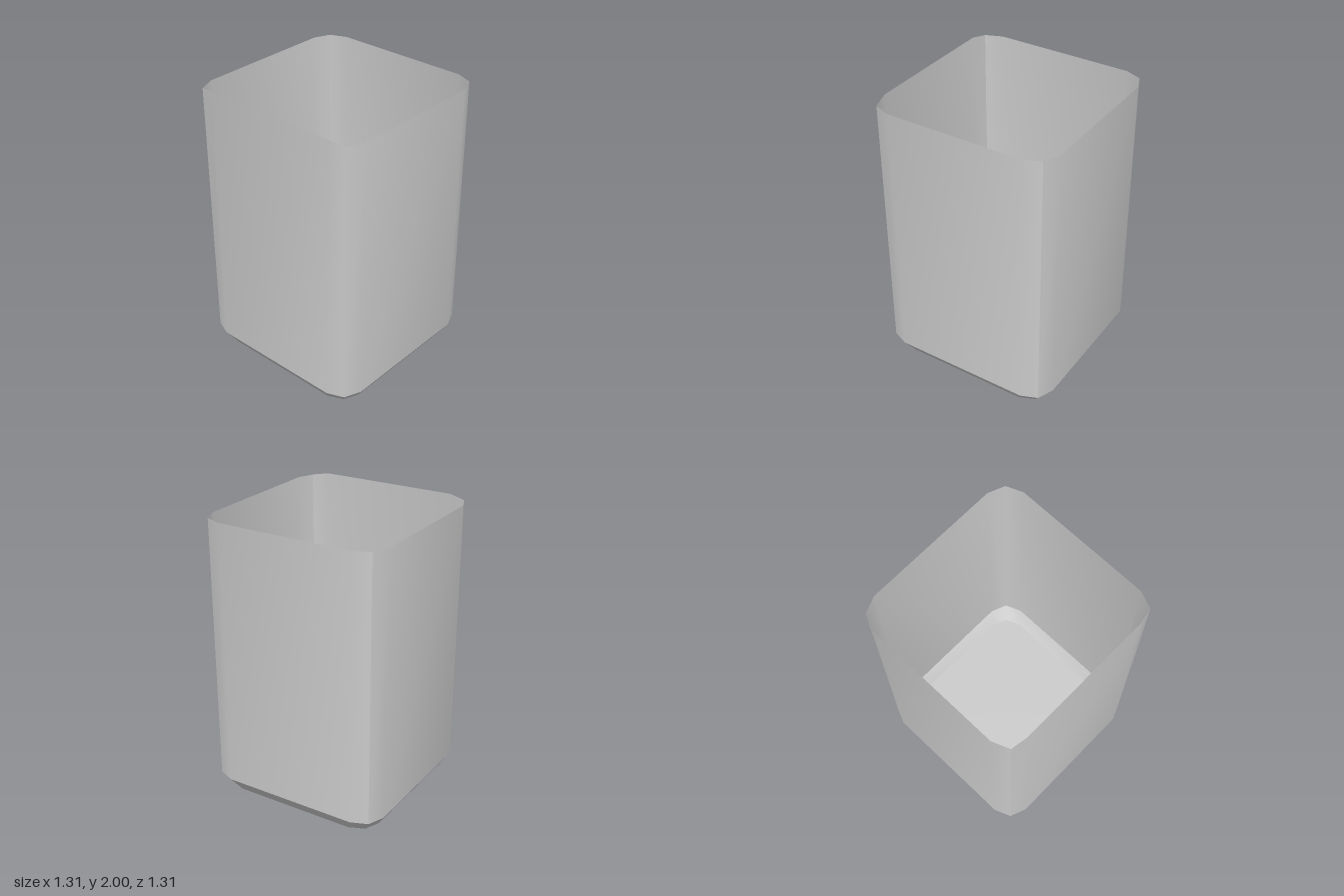
import * as THREE from 'three';
import { toCreasedNormals } from 'three/addons/utils/BufferGeometryUtils.js';

// Rounded-square ring of 12 points: side half-width, half-length of the flat, corner position
function ring(y, side, flat, corner) {
  const points = [];
  for (let k = 0; k < 4; k++) {
    for (let [x, z] of [[side, -flat], [side, flat], [corner, corner]]) {
      for (let r = 0; r < k; r++) [x, z] = [-z, x];
      points.push(new THREE.Vector3(x, y, z));
    }
  }
  return points;
}

export function createModel() {
  const base = ring(0, 0.59, 0.44, 0.545);
  const shoulder = ring(0.095, 0.653, 0.49, 0.606);
  const rim = ring(1.98, 0.653, 0.49, 0.606);

  // The front lip leans slightly inward and rises above the rest of the rim
  for (const p of rim) {
    if (p.z > 0.62) p.set(p.x, 2, 0.63);
  }

  const rings = [base, shoulder, rim];
  const n = base.length;
  const triangles = [];
  for (let i = 0; i < n; i++) {
    const j = (i + 1) % n;
    // Floor
    triangles.push(new THREE.Vector3(), base[i], base[j]);
    // Bevelled foot and tall wall
    for (let k = 0; k < rings.length - 1; k++) {
      const low = rings[k], high = rings[k + 1];
      triangles.push(low[i], high[i], low[j], high[i], high[j], low[j]);
    }
  }

  const geometry = toCreasedNormals(new THREE.BufferGeometry().setFromPoints(triangles), 0.5);
  const material = new THREE.MeshStandardMaterial({ color: 0xcccccc, side: THREE.DoubleSide });
  const container = new THREE.Mesh(geometry, material);
  container.name = 'openContainer';

  const group = new THREE.Group();
  group.name = 'squareContainer';
  group.add(container);
  return group;
}
